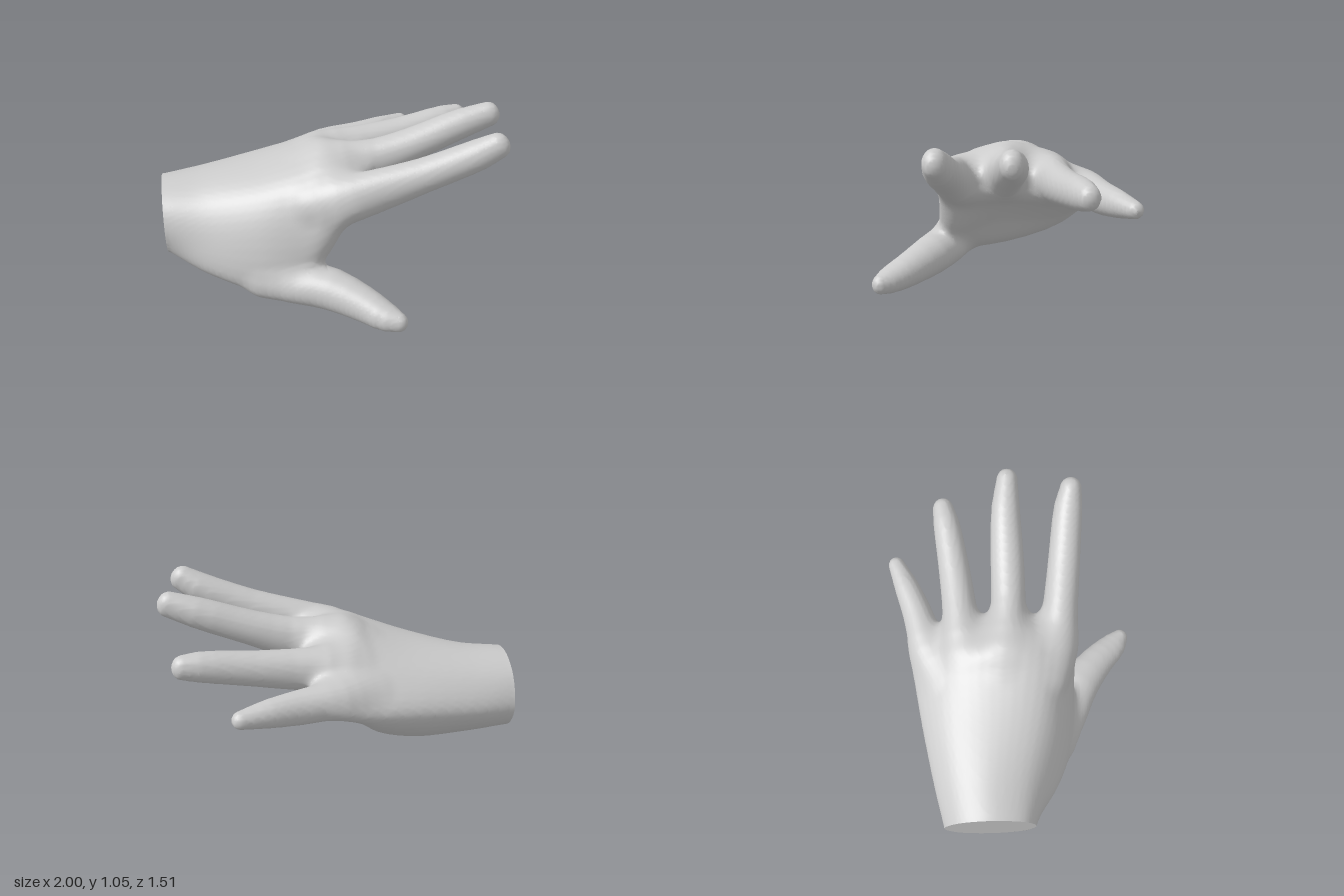
import * as THREE from 'three';

const material = new THREE.MeshStandardMaterial({ color: 0xcccccc });

// Palm cross-sections: x, then (z, y) from the little-finger edge over the back and under the palm
const palmSections = [
  [-1, -.43, .38, -.35, .55, -.17, .62, .03, .555, .10, .41, .04, .25, -.14, .17, -.34, .22],
  [-.75, -.49, .41, -.38, .58, -.17, .645, .06, .58, .19, .40, .23, .19, .05, .09, -.33, .185],
  [-.45, -.55, .46, -.41, .63, -.15, .70, .13, .65, .28, .45, .34, .11, .15, .045, -.38, .205],
  [-.22, -.59, .49, -.43, .67, -.15, .765, .18, .72, .33, .46, .34, .17, .12, .14, -.41, .27],
  [-.08, -.61, .51, -.44, .69, -.13, .83, .20, .765, .355, .53, .30, .28, .02, .335, -.42, .37],
  [.05, -.61, .55, -.45, .67, -.12, .805, .22, .76, .355, .61, .25, .47, -.05, .47, -.44, .46],
  [.19, -.57, .58, -.45, .64, -.12, .73, .20, .71, .31, .64, .20, .58, -.10, .57, -.44, .54],
];

// Digits: stations of x, y, z, half width, half height
const digits = [
  // index finger
  [[-.15, .60, .21, .09, .09], [.05, .64, .25, .12, .14], [.25, .705, .278, .103, .125],
    [.5, .797, .306, .094, .10], [.76, .905, .333, .086, .092], [.875, .97, .353, .064, .077]],
  // middle finger
  [[-.15, .66, -.08, .09, .09], [.03, .695, -.045, .12, .145], [.25, .725, -.03, .102, .125],
    [.5, .81, -.03, .098, .10], [.76, .91, -.033, .086, .092], [.94, .974, -.02, .062, .076]],
  // ring finger
  [[-.15, .60, -.27, .09, .09], [.03, .655, -.30, .12, .13], [.25, .675, -.32, .102, .12],
    [.5, .715, -.35, .092, .10], [.76, .765, -.39, .08, .088], [.865, .78, -.41, .062, .07]],
  // little finger
  [[-.15, .55, -.43, .09, .09], [.03, .58, -.51, .105, .105], [.25, .585, -.575, .09, .098],
    [.42, .60, -.64, .075, .08], [.575, .613, -.707, .05, .05]],
  // thumb
  [[-.42, .125, .25, .12, .105], [-.25, .13, .315, .14, .12], [-.08, .128, .40, .13, .122],
    [.10, .10, .54, .105, .102], [.20, .08, .64, .088, .082], [.27, .075, .70, .053, .06]],
];

// Blend two distances into a smooth joint of width k
function blend(a, b, k) {
  const h = Math.max(k - Math.abs(a - b), 0) / k;
  return Math.min(a, b) - h * h * k / 4;
}

const rails = Array.from({ length: 8 }, (_, k) => new THREE.CatmullRomCurve3(
  palmSections.map(s => new THREE.Vector3(s[0], s[2 + 2 * k], s[1 + 2 * k])), false, 'catmullrom', 0.5));

// Outline of the palm at a given x, as points (z, y)
function palmOutline(x) {
  let low = 0, high = 1;
  for (let i = 0; i < 24; i++) {
    const mid = (low + high) / 2;
    if (rails[0].getPoint(mid).x < x) low = mid; else high = mid;
  }
  const loop = new THREE.CatmullRomCurve3(rails.map(r => r.getPoint(low)), true);
  return Array.from({ length: 40 }, (_, j) => {
    const p = loop.getPoint(j / 40);
    return new THREE.Vector2(p.z, p.y);
  });
}

// Signed distance from (z, y) to an outline
function outlineDistance(outline, z, y) {
  let best = Infinity, inside = false;
  for (let i = 0, j = outline.length - 1; i < outline.length; j = i++) {
    const a = outline[j], b = outline[i];
    const ex = b.x - a.x, ey = b.y - a.y, px = z - a.x, py = y - a.y;
    const t = Math.min(1, Math.max(0, (px * ex + py * ey) / (ex * ex + ey * ey)));
    best = Math.min(best, (px - t * ex) ** 2 + (py - t * ey) ** 2);
    if ((a.y > y) !== (b.y > y) && z < a.x + (y - a.y) / ey * ex) inside = !inside;
  }
  return Math.sqrt(best) * (inside ? -1 : 1);
}

// Split a digit into short tapering segments with their own axes
function digitSegments(stations) {
  const path = new THREE.CatmullRomCurve3(stations.map(s => new THREE.Vector3(s[0], s[1], s[2])));
  const size = new THREE.CatmullRomCurve3(stations.map(s => new THREE.Vector3(s[3], s[4], 0)));
  const n = 12;
  return Array.from({ length: n }, (_, i) => {
    const a = path.getPoint(i / n), axis = path.getPoint((i + 1) / n).sub(a);
    const length = axis.length();
    axis.normalize();
    const side = new THREE.Vector3().crossVectors(axis, new THREE.Vector3(0, 1, 0)).normalize();
    const up = new THREE.Vector3().crossVectors(side, axis);
    return { a, axis, side, up, length, r0: size.getPoint(i / n), r1: size.getPoint((i + 1) / n) };
  });
}

// Distance from a point to an oval, tapering digit
function digitDistance(segments, p, o) {
  let best = Infinity;
  for (const s of segments) {
    o.subVectors(p, s.a);
    const along = o.dot(s.axis), t = Math.min(1, Math.max(0, along / s.length));
    const rw = s.r0.x + (s.r1.x - s.r0.x) * t, rh = s.r0.y + (s.r1.y - s.r0.y) * t;
    const u = o.dot(s.side), v = o.dot(s.up), w = along - t * s.length;
    const k = Math.sqrt((u / rw) ** 2 + (v / rh) ** 2 + (w / rw) ** 2) + 1e-6;
    best = Math.min(best, Math.sqrt(u * u + v * v + w * w + 1e-9) * (1 - 1 / k));
  }
  return best;
}

// One continuous skin over palm and digits, drawn where the blended distance is zero
function handSkin() {
  const h = 0.017, size = [121, 68, 96], origin = [-1 - h / 2, -0.04, -0.81];
  const step = [1, size[0], size[0] * size[1]];
  const field = new Float32Array(size[0] * size[1] * size[2]);
  const parts = digits.map(digitSegments), p = new THREE.Vector3(), o = new THREE.Vector3();
  for (let i = 0; i < size[0]; i++) {
    p.x = origin[0] + i * h;
    const outline = palmOutline(p.x);
    for (let k = 0; k < size[2]; k++) for (let j = 0; j < size[1]; j++) {
      p.y = origin[1] + j * h;
      p.z = origin[2] + k * h;
      // rounded front end of the palm, set back towards the little finger
      const front = 0.19 - 0.3 * Math.max(0, -0.25 - p.z) - p.x;
      let d = -blend(-outlineDistance(outline, p.z, p.y), front, 0.06);
      for (const part of parts) d = blend(d, digitDistance(part, p, o), 0.075);
      field[i + j * step[1] + k * step[2]] = d;
    }
  }

  // One vertex per cell crossed by the surface, at the mean of its edge crossings
  const pos = [], index = [], vertex = new Int32Array(field.length).fill(-1);
  const eachCell = visit => {
    for (let k = 0; k < size[2] - 1; k++) for (let j = 0; j < size[1] - 1; j++)
      for (let i = 0; i < size[0] - 1; i++) visit([i, j, k], i + j * step[1] + k * step[2]);
  };
  eachCell((cell, id) => {
    const sum = [0, 0, 0];
    let count = 0;
    for (let a = 0; a < 3; a++) {
      const b = (a + 1) % 3, c = (a + 2) % 3;
      for (let e = 0; e < 4; e++) {
        const eb = e & 1, ec = e >> 1, q = id + eb * step[b] + ec * step[c];
        const f0 = field[q], f1 = field[q + step[a]];
        if ((f0 < 0) === (f1 < 0)) continue;
        sum[a] += f0 / (f0 - f1);
        sum[b] += eb;
        sum[c] += ec;
        count++;
      }
    }
    if (!count) return;
    vertex[id] = pos.length / 3;
    const at = sum.map((s, a) => origin[a] + (cell[a] + s / count) * h);
    pos.push(cell[0] === 0 ? -1 : at[0], at[1], at[2]);
  });

  // A quad around every crossed grid edge
  eachCell((cell, id) => {
    for (let a = 0; a < 3; a++) {
      const b = (a + 1) % 3, c = (a + 2) % 3;
      const inside = field[id] < 0;
      if (cell[b] === 0 || cell[c] === 0 || inside === (field[id + step[a]] < 0)) continue;
      const q = [id - step[b] - step[c], id - step[c], id, id - step[b]].map(v => vertex[v]);
      if (!inside) q.reverse();
      index.push(q[0], q[1], q[2], q[0], q[2], q[3]);
    }
  });
  const geo = new THREE.BufferGeometry();
  geo.setAttribute('position', new THREE.Float32BufferAttribute(pos, 3));
  geo.setIndex(index);
  geo.computeVertexNormals();
  return geo;
}

export function createModel() {
  const hand = new THREE.Group();
  hand.name = 'hand';
  const skin = new THREE.Mesh(handSkin(), material);
  skin.name = 'palmAndFingers';
  // Flat cut at the wrist
  const cap = new THREE.Mesh(
    new THREE.ShapeGeometry(new THREE.Shape(palmOutline(-1))).rotateY(-Math.PI / 2).translate(-1, 0, 0), material);
  cap.name = 'wristCap';
  hand.add(skin, cap);
  return hand;
}
